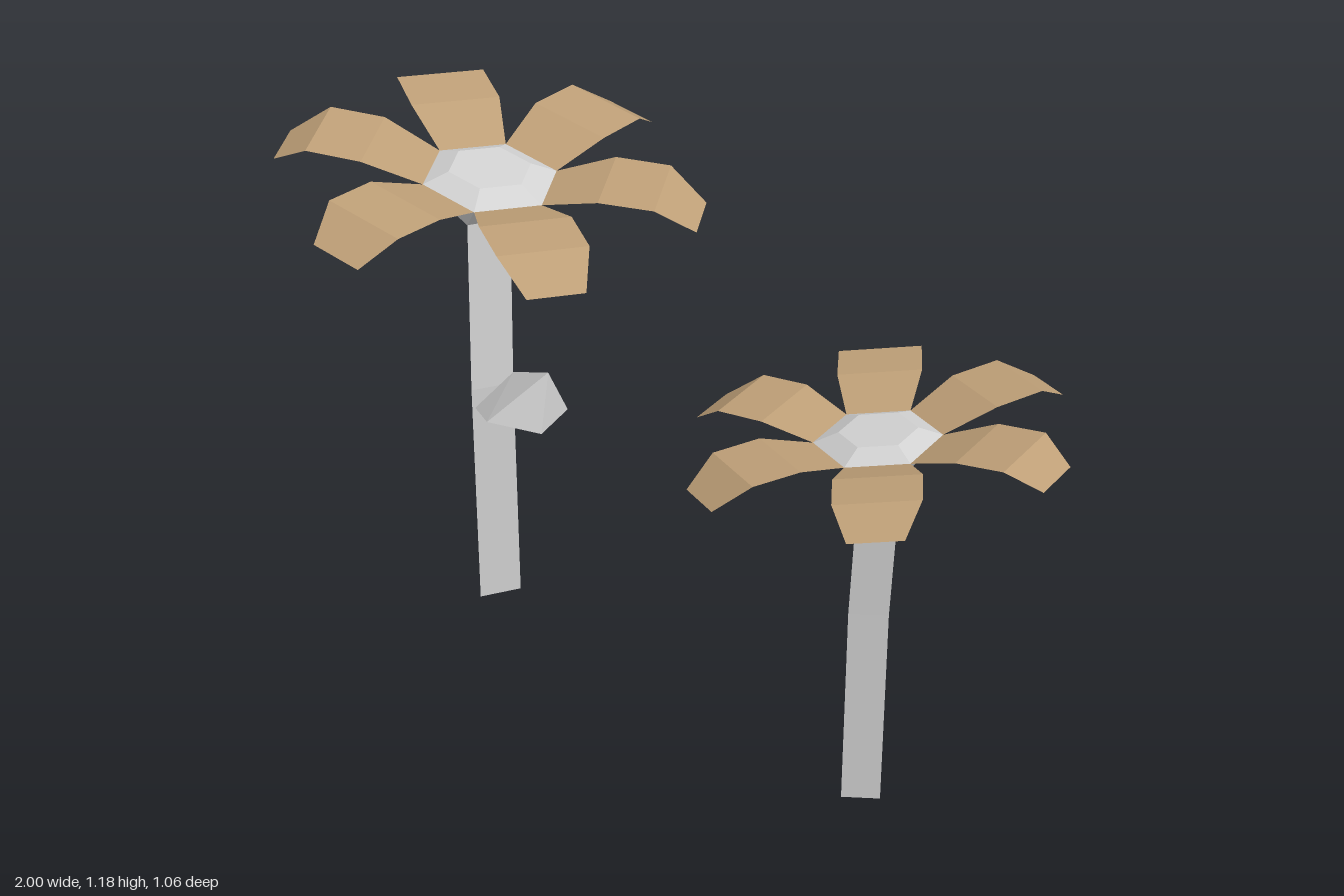
import * as THREE from 'three';

const stemGrey = new THREE.MeshStandardMaterial({ color: 0xd2d2d2 });
stemGrey.name = 'pale grey';
const leafGrey = stemGrey.clone();
leafGrey.name = 'pale grey leaf';
leafGrey.side = THREE.DoubleSide;
const petalTan = new THREE.MeshStandardMaterial({ color: 0xbe9f77, side: THREE.DoubleSide });
petalTan.name = 'tan petal';

// Faceted surface through rows of points with equal counts
function loft(rows, closed, capStart = false, capEnd = false) {
  const pos = [];
  const tri = (a, b, c) => {
    if (a.distanceTo(b) < 1e-5 || b.distanceTo(c) < 1e-5 || a.distanceTo(c) < 1e-5) return;
    for (const p of [a, b, c]) pos.push(p.x, p.y, p.z);
  };
  for (let i = 0; i + 1 < rows.length; i++) {
    const lo = rows[i], hi = rows[i + 1], n = lo.length;
    for (let j = 0; j < (closed ? n : n - 1); j++) {
      const k = (j + 1) % n;
      tri(lo[j], hi[j], lo[k]);
      tri(lo[k], hi[j], hi[k]);
    }
  }
  const first = rows[0], last = rows[rows.length - 1];
  if (capStart) for (let j = 1; j + 1 < first.length; j++) tri(first[0], first[j], first[j + 1]);
  if (capEnd) for (let j = 1; j + 1 < last.length; j++) tri(last[0], last[j + 1], last[j]);
  const g = new THREE.BufferGeometry();
  g.setAttribute('position', new THREE.Float32BufferAttribute(pos, 3));
  g.computeVertexNormals();
  return g;
}

function part(name, geometry, material) {
  const m = new THREE.Mesh(geometry, material);
  m.name = name;
  return m;
}

const V = (x, y, z) => new THREE.Vector3(x, y, z);
const rad = THREE.MathUtils.degToRad;

// s: size, turn: heading in degrees, slope: rise of the head along x
function flower(name, { base, top, head, s, turn, slope }) {
  const group = new THREE.Group();
  group.name = name;
  const at = (r, deg, h) => {
    const x = r * Math.cos(rad(deg)), z = r * Math.sin(rad(deg));
    return V(head[0] + x, head[1] + h + slope * x, head[2] + z);
  };
  const stemRing = ([x, z], y) => [0, 120, 240].map((d) =>
    V(x + 0.058 * s * Math.cos(rad(turn + d)), y, z + 0.058 * s * Math.sin(rad(turn + d))));
  const hexRing = (r, h) => Array.from({ length: 6 }, (_, i) => at(r * s, turn - 30 + 60 * i, h * s));

  // Three-sided stem, bending in its upper part
  const stemTop = stemRing(top, 0.99 * s);
  group.add(part('stem', loft([stemRing(base, 0), stemRing(base, 0.58 * s), stemTop], true, true), stemGrey));

  // Cup from the triangular stem to the six-sided rim, and the low raised centre
  const rim = hexRing(0.155, 0);
  group.add(part('cup', loft([rim.map((_, i) => stemTop[Math.floor(i / 2)]), rim], true), stemGrey));
  group.add(part('flowerCentre', loft([rim, hexRing(0.095, 0.025)], true, false, true), stemGrey));

  // Petals: [distance, half width, height] from rim to drooping tip
  const profile = [[0.134, 0.0775, 0], [0.265, 0.104, 0.045], [0.39, 0.103, 0.048], [0.477, 0.066, -0.008]];
  for (let i = 0; i < 6; i++) {
    const rows = profile.map(([r, w, h]) => [-w, w].map((side) =>
      at(Math.hypot(r, side) * s, turn + 60 * i + THREE.MathUtils.radToDeg(Math.atan2(side, r)), h * s)));
    // flip so that the front faces up
    group.add(part('petal', loft(rows.map((row) => row.reverse()), false), petalTan));
  }
  return group;
}

export function createModel() {
  const model = new THREE.Group();
  model.name = 'flowers';

  const tall = flower('tallFlower', {
    base: [-0.532, -0.024], top: [-0.547, -0.054], head: [-0.534, 1.087, -0.061],
    s: 1, turn: -24, slope: -0.11,
  });
  // Leaf growing from one face of the tall stem
  tall.add(part('leaf', loft([
    [V(-0.53, 0.535, 0.033), V(-0.48, 0.607, -0.05)],
    [V(-0.4, 0.605, 0.155), V(-0.31, 0.708, 0.042)],
    [V(-0.235, 0.64, 0.172), V(-0.2, 0.69, 0.12)],
  ], false), leafGrey));
  model.add(tall);

  model.add(flower('shortFlower', {
    base: [0.596, 0.15], top: [0.609, 0.15], head: [0.596, 0.907, 0.143],
    s: 0.845, turn: 0, slope: 0.135,
  }));
  return model;
}
